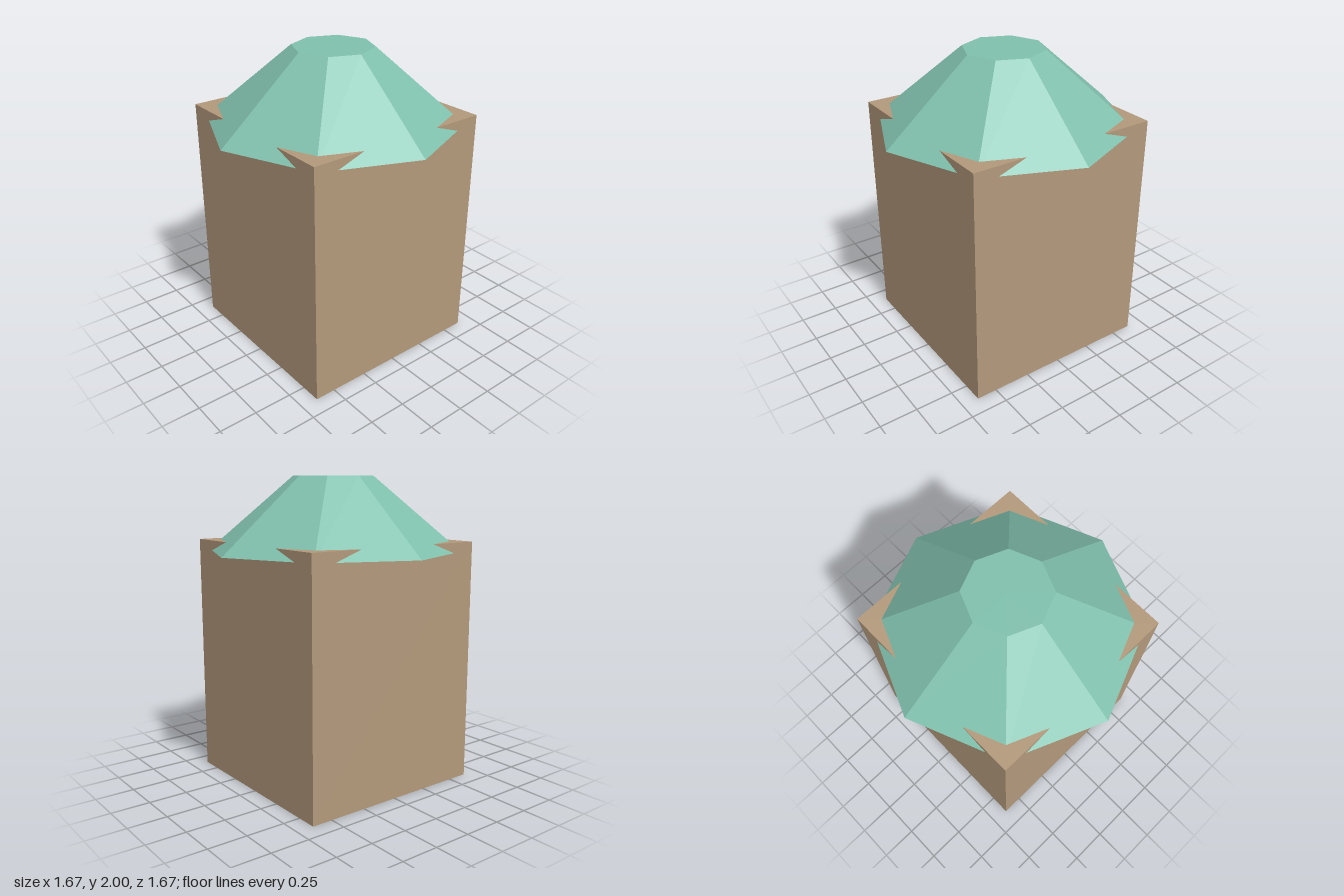
import * as THREE from 'three';

export function createModel() {
  const model = new THREE.Group();
  model.name = 'tower';

  const wall = new THREE.MeshStandardMaterial({ color: 0xb3997b });
  wall.name = 'tan wall';
  const roofGreen = new THREE.MeshStandardMaterial({ color: 0x80c0ad, flatShading: true });
  roofGreen.name = 'green roof';

  // Square body standing on the ground
  const bodyHeight = 1.585;
  const body = new THREE.Mesh(new THREE.BoxGeometry(1.275, bodyHeight, 1.275), wall);
  body.name = 'body';
  body.position.y = bodyHeight / 2;

  // Eight-sided truncated roof, its eaves sunk slightly below the body's top corners
  const eaves = 1.52, top = 2;
  const roof = new THREE.Mesh(new THREE.CylinderGeometry(0.263, 0.833, top - eaves, 8), roofGreen);
  roof.name = 'roof';
  roof.position.y = (eaves + top) / 2;

  model.add(body, roof);
  return model;
}
